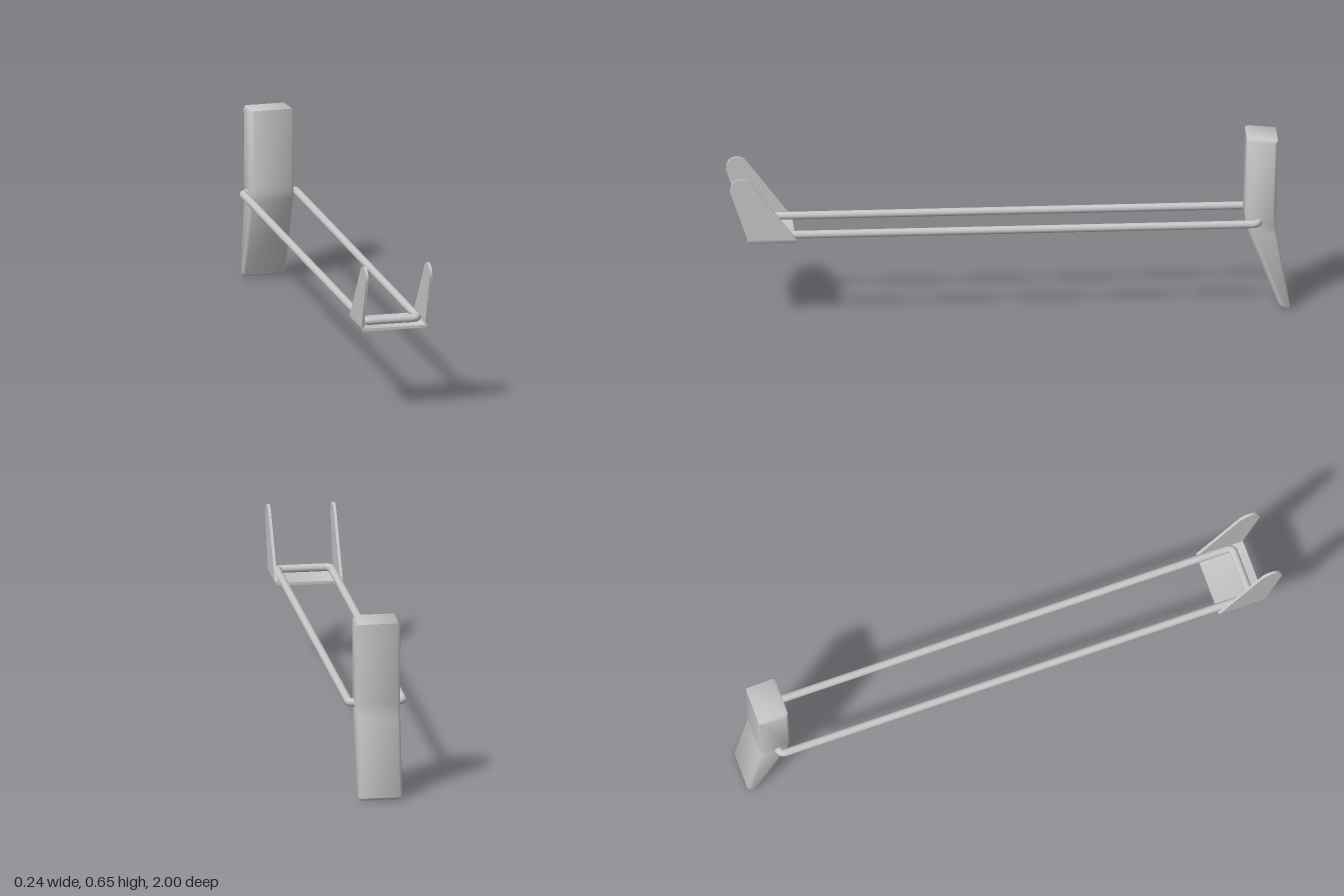
import * as THREE from 'three';
import { toCreasedNormals } from 'three/addons/utils/BufferGeometryUtils.js';

const metal = new THREE.MeshStandardMaterial({ color: 0xc6c6c6 });
metal.name = 'light grey metal';

function addMesh(parent, name, geometry) {
  const mesh = new THREE.Mesh(geometry, metal);
  mesh.name = name;
  parent.add(mesh);
  return mesh;
}

// Extrude a side profile drawn in (z, y) across x, centred on x = 0
function sideExtrude(shape, width, bevel = 0) {
  const g = new THREE.ExtrudeGeometry(shape, {
    depth: width - 2 * bevel, curveSegments: 12,
    bevelEnabled: bevel > 0, bevelThickness: bevel, bevelSize: bevel,
    bevelOffset: -bevel, bevelSegments: 1,
  });
  g.translate(0, 0, -(width - 2 * bevel) / 2);
  g.rotateY(-Math.PI / 2);
  return toCreasedNormals(g, 0.9);
}

// Bent, tapering block at the rear, with softly shaded chamfers
function rearBlock(group) {
  const s = new THREE.Shape();
  s.moveTo(-0.845, 0.645);
  s.lineTo(-0.839, 0.36);
  s.quadraticCurveTo(-0.838, 0.33, -0.848, 0.30);
  s.lineTo(-0.953, 0.02);
  s.quadraticCurveTo(-0.96, 0.006, -0.975, 0.003);
  s.lineTo(-0.985, 0);
  s.quadraticCurveTo(-0.999, 0, -0.998, 0.015);
  s.lineTo(-0.951, 0.29);
  s.quadraticCurveTo(-0.946, 0.32, -0.947, 0.34);
  s.lineTo(-0.955, 0.639);
  s.lineTo(-0.856, 0.649);
  s.closePath();
  addMesh(group, 'rearBlock', sideExtrude(s, 0.158, 0.01)).position.x = 0.002;
}

// Closed rod loop: four straight bars joined by quarter bends
function rodLoop(group) {
  const loop = new THREE.Group();
  loop.name = 'rodLoop';
  const r = 0.014, bend = 0.02, halfX = 0.0975, halfZ = 0.888;
  for (const side of [-1, 1]) {
    const rail = new THREE.CylinderGeometry(r, r, 2 * (halfZ - bend), 20, 1, true);
    rail.rotateX(Math.PI / 2);
    addMesh(loop, side > 0 ? 'leftRail' : 'rightRail', rail).position.x = side * halfX;
    const bar = new THREE.CylinderGeometry(r, r, 2 * (halfX - bend), 20, 1, true);
    bar.rotateZ(Math.PI / 2);
    addMesh(loop, side > 0 ? 'frontBar' : 'rearBar', bar).position.z = side * halfZ;
  }
  const corners = [[1, 1], [1, -1], [-1, -1], [-1, 1]];
  corners.forEach(([sx, sz], i) => {
    const g = new THREE.TorusGeometry(bend, r, 20, 8, Math.PI / 2);
    g.rotateX(Math.PI / 2);
    g.rotateY(i * Math.PI / 2);
    addMesh(loop, 'rodBend', g).position.set(sx * (halfX - bend), 0, sz * (halfZ - bend));
  });
  loop.position.set(0, 0.334, 0.004);
  group.add(loop);
}

// Folded sheet bracket: channel base and two leaning round-topped ears
function frontBracket(group) {
  const bracket = new THREE.Group();
  bracket.name = 'frontBracket';
  const w = 0.122, t = 0.010, y0 = 0.309, y1 = 0.324;

  const u = new THREE.Shape();
  u.moveTo(-w, y1);
  u.quadraticCurveTo(-w, y0, -w + 0.015, y0);
  u.lineTo(w - 0.015, y0);
  u.quadraticCurveTo(w, y0, w, y1);
  u.lineTo(w - t, y1);
  u.quadraticCurveTo(w - t, y0 + t, w - t - 0.005, y0 + t);
  u.lineTo(-w + t + 0.005, y0 + t);
  u.quadraticCurveTo(-w + t, y0 + t, -w + t, y1);
  u.closePath();
  const base = new THREE.ExtrudeGeometry(u, { depth: 0.173, bevelEnabled: false, curveSegments: 6 });
  base.translate(0, 0, 0.764);
  addMesh(bracket, 'bracketBase', toCreasedNormals(base, 0.7));

  const ear = new THREE.Shape();
  ear.moveTo(0.764, y1);
  ear.lineTo(0.937, y1);
  ear.lineTo(0.999, 0.505);
  ear.bezierCurveTo(1.004, 0.53, 0.988, 0.554, 0.963, 0.554);
  ear.bezierCurveTo(0.944, 0.554, 0.932, 0.547, 0.922, 0.532);
  ear.closePath();
  for (const side of [-1, 1]) {
    addMesh(bracket, side > 0 ? 'leftEar' : 'rightEar', sideExtrude(ear, t)).position.x = side * (w - t / 2);
  }
  group.add(bracket);
}

export function createModel() {
  const group = new THREE.Group();
  group.name = 'displayHook';
  rearBlock(group);
  rodLoop(group);
  frontBracket(group);
  return group;
}
